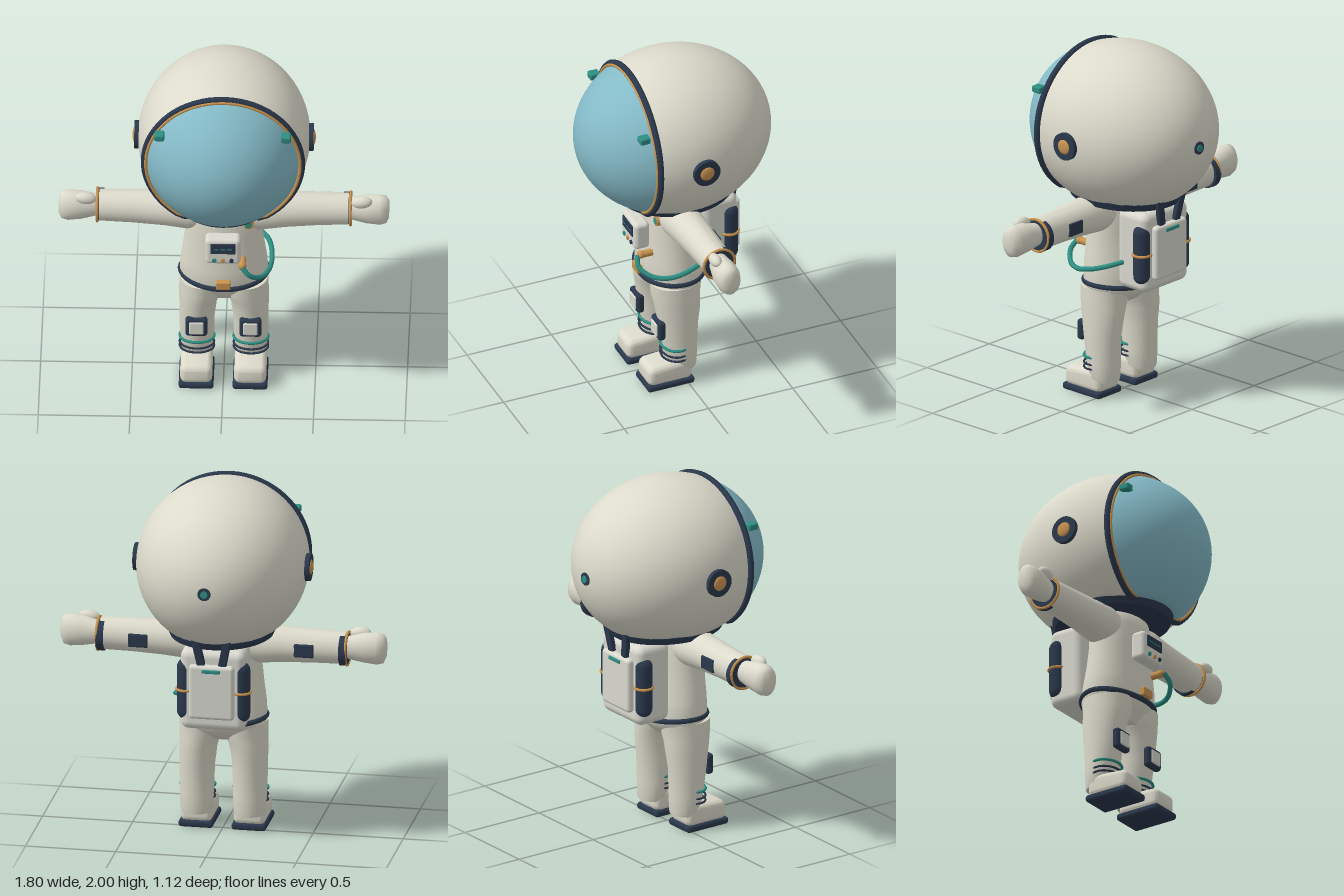
import * as THREE from 'three';
import { toCreasedNormals } from 'three/addons/utils/BufferGeometryUtils.js';
import { RoundedBoxGeometry } from 'three/addons/geometries/RoundedBoxGeometry.js';

const paint = (name, color) => Object.assign(new THREE.MeshStandardMaterial({ color }), { name });

// Skin over elliptical sections [t, a, b, ca, cb] along y (a=x, b=z) or along x (a=y, b=z)
function loft(sections, axis, s = 1, n = 32) {
  const pos = [], idx = [], last = sections.length - 1;
  const flip = (axis === 'y') !== (s < 0);
  const tri = (a, b, c) => (flip ? idx.push(a, c, b) : idx.push(a, b, c));
  const put = (t, u, v) => (axis === 'y' ? pos.push(u, t, v) : pos.push(s * t, u, v));
  for (const [t, a, b, ca, cb] of sections)
    for (let j = 0; j < n; j++) {
      const w = (j / n) * Math.PI * 2;
      put(t, ca + a * Math.cos(w), cb + b * Math.sin(w));
    }
  for (let i = 0; i < last; i++)
    for (let j = 0; j < n; j++) {
      const k = (j + 1) % n, p = i * n, q = p + n;
      tri(p + j, p + k, q + k);
      tri(p + j, q + k, q + j);
    }
  for (const i of [0, last]) {
    const [t, , , ca, cb] = sections[i], c = pos.length / 3;
    put(t, ca, cb);
    for (let j = 0; j < n; j++) {
      const p = i * n + j, k = i * n + ((j + 1) % n);
      if (i === 0) tri(c, k, p); else tri(c, p, k);
    }
  }
  const g = new THREE.BufferGeometry();
  g.setAttribute('position', new THREE.Float32BufferAttribute(pos, 3));
  g.setIndex(idx);
  return toCreasedNormals(g, 0.95);
}

// Closed round cord following a rule from angle to [x, y, z]
function loop(rule, radius, n = 64) {
  const pts = [];
  for (let i = 0; i < n; i++) pts.push(new THREE.Vector3(...rule((i / n) * Math.PI * 2)));
  return new THREE.TubeGeometry(new THREE.CatmullRomCurve3(pts, true), n, radius, 8, true);
}

export function createModel() {
  const suit = paint('suit fabric', 0xdcdacb), panel = paint('pale panel', 0xd9d9d0);
  const navy = paint('navy trim', 0x2b384c), teal = paint('teal accent', 0x2d8f83);
  const gold = paint('gold fitting', 0xc8934f), glass = paint('visor glass', 0x84bac7);
  const model = new THREE.Group();
  model.name = 'astronaut';

  const add = (name, geo, mat, x = 0, y = 0, z = 0) => {
    const m = new THREE.Mesh(geo, mat);
    m.name = name;
    m.position.set(x, y, z);
    model.add(m);
    return m;
  };
  const box = (name, mat, w, h, d, r, x, y, z) =>
    add(name, new RoundedBoxGeometry(w, h, d, 3, r), mat, x, y, z);
  // Disc facing along z or x
  const disc = (name, mat, r, d, x, y, z, axis = 'z') => {
    const g = new THREE.CylinderGeometry(r, r, d, 28);
    if (axis === 'z') g.rotateX(Math.PI / 2); else g.rotateZ(Math.PI / 2);
    return add(name, g, mat, x, y, z);
  };

  // Helmet: ellipsoid split into shell and visor, flattened underneath
  const HY = 1.535, split = Math.acos(0.25 / 0.55);
  const dome = (from, to) => {
    const g = new THREE.SphereGeometry(1, 72, 40, 0, Math.PI * 2, from, to - from);
    g.rotateX(Math.PI / 2).scale(0.47, 0.465, 0.552);
    const p = g.attributes.position;
    for (let i = 0; i < p.count; i++) p.setY(i, Math.max(p.getY(i), -0.355));
    return toCreasedNormals(g, 0.5);
  };
  add('visor', dome(0, split), glass, 0, HY, 0);
  add('helmetShell', dome(split, Math.PI), suit, 0, HY, 0);
  const rim = (rx, ry, low, z) => (w) => [rx * Math.cos(w), Math.max(ry * Math.sin(w), low), z];
  add('visorRim', loop(rim(0.43, 0.42, -0.362, 0.25), 0.018), navy, 0, HY, 0);
  add('visorInnerRim', loop(rim(0.421, 0.411, -0.35, 0.266), 0.009), gold, 0, HY, 0);
  const neck = new THREE.CylinderGeometry(1, 0.95, 0.04, 56).scale(0.3, 1, 0.345);
  add('neckRing', neck, navy, 0, 1.162, -0.015);
  disc('rearPort', navy, 0.036, 0.02, 0, HY, -0.547);
  disc('rearPortLens', teal, 0.02, 0.02, 0, HY, -0.553);

  // Torso and belt
  add('torso', loft([
    [0.53, 0.15, 0.09, 0, 0.03], [0.58, 0.21, 0.135, 0, 0.02], [0.62, 0.236, 0.17, 0, 0.015],
    [0.66, 0.243, 0.178, 0, 0.018], [0.75, 0.236, 0.168, 0, 0.025], [0.85, 0.222, 0.156, 0, 0.03],
    [0.96, 0.21, 0.15, 0, 0.035], [1.08, 0.205, 0.145, 0, 0.035], [1.15, 0.19, 0.13, 0, 0.035],
    [1.18, 0.15, 0.1, 0, 0.035]], 'y', 1, 40), suit);
  const belt = (w) => [0.237 * Math.cos(w), 0.642 + 0.018 * Math.cos(w) ** 2, 0.018 + 0.175 * Math.sin(w)];
  add('belt', loop(belt, 0.016), navy);
  box('buckle', gold, 0.08, 0.05, 0.04, 0.008, 0, 0.68, 0.203);

  // Chest control unit
  box('chestUnit', panel, 0.195, 0.165, 0.09, 0.025, 0, 0.935, 0.215);
  box('chestScreen', navy, 0.137, 0.066, 0.012, 0.005, 0, 0.962, 0.261);
  for (let i = -1; i <= 1; i++) {
    box('screenMark', teal, 0.026, 0.005, 0.004, 0.001, i * 0.036, 0.96, 0.267);
    disc('chestButton', [teal, gold, navy][i + 1], 0.012, 0.012, i * 0.047, 0.885, 0.262);
  }
  disc('badgeRim', gold, 0.029, 0.02, 0.137, 1.05, 0.148);
  disc('badgeCentre', teal, 0.019, 0.02, 0.137, 1.05, 0.152);

  // Air hose from the chest, round the model's left side, into the backpack
  add('hoseConnector', new THREE.SphereGeometry(0.023, 18, 12), gold, 0.105, 0.83, 0.23);
  disc('hoseSocket', gold, 0.02, 0.07, 0.105, 0.83, 0.2);
  const path = [[0.105, 0.83, 0.25], [0.145, 0.785, 0.262], [0.205, 0.742, 0.21], [0.25, 0.735, 0.12],
    [0.262, 0.757, 0.02], [0.24, 0.79, -0.08], [0.17, 0.82, -0.155]];
  const curve = new THREE.CatmullRomCurve3(path.map((p) => new THREE.Vector3(...p)));
  add('airHose', new THREE.TubeGeometry(curve, 48, 0.014, 10), teal);

  // Backpack
  box('backpack', panel, 0.36, 0.46, 0.215, 0.045, 0, 0.895, -0.2125);
  box('backpackPanel', panel, 0.25, 0.31, 0.05, 0.02, 0, 0.895, -0.33);
  box('backpackStripe', teal, 0.1, 0.02, 0.012, 0.004, 0, 1.02, -0.357);

  for (const s of [1, -1]) {
    // Helmet fittings
    disc('earDisc', navy, 0.077, 0.045, s * 0.466, HY, 0, 'x');
    const cap = new THREE.SphereGeometry(0.042, 24, 14).scale(0.3, 1, 1);
    add('earCap', cap, gold, s * 0.487, HY, 0);
    box('visorLamp', teal, 0.055, 0.038, 0.06, 0.009, s * 0.345, 1.755, 0.315);

    // Backpack tanks and straps
    add('tank', new THREE.CapsuleGeometry(0.048, 0.25, 6, 20), navy, s * 0.155, 0.888, -0.273);
    const band = new THREE.TorusGeometry(0.05, 0.008, 8, 28).rotateX(Math.PI / 2);
    add('tankBand', band, gold, s * 0.155, 0.888, -0.273);
    const strap = box('strap', navy, 0.045, 0.17, 0.03, 0.006, s * 0.075, 1.13, -0.335);
    strap.rotation.set(-0.1, 0, -s * 0.2);

    // Arm
    add('sleeve', loft([
      [0.1, 0.1, 0.1, 1.07, 0.035], [0.2, 0.11, 0.113, 1.07, 0.035], [0.33, 0.1, 0.1, 1.073, 0.03],
      [0.5, 0.093, 0.091, 1.075, 0.025], [0.68, 0.089, 0.085, 1.075, 0.02]], 'x', s), suit);
    disc('wristSeal', navy, 0.089, 0.04, s * 0.673, 1.07, 0.008, 'x');
    const cuff = new THREE.TorusGeometry(0.091, 0.008, 8, 36).rotateY(Math.PI / 2);
    add('cuffRing', cuff, gold, s * 0.69, 1.073, 0.018);
    box('elbowPatch', navy, 0.11, 0.075, 0.02, 0.008, s * 0.46, 1.07, -0.062);
    add('glove', loft([
      [0.67, 0.06, 0.052, 1.08, 0.02], [0.72, 0.07, 0.058, 1.078, 0.025], [0.78, 0.084, 0.068, 1.08, 0.03],
      [0.85, 0.09, 0.068, 1.078, 0.032], [0.885, 0.083, 0.056, 1.08, 0.032],
      [0.9, 0.055, 0.032, 1.085, 0.032]], 'x', s), suit);
    const thumb = new THREE.SphereGeometry(1, 20, 14).scale(0.058, 0.034, 0.032);
    add('thumb', thumb, suit, s * 0.752, 1.15, 0.068).rotation.z = s * 0.1;

    // Leg
    const lx = s * 0.147;
    add('leg', loft([
      [0.09, 0.08, 0.07, lx, 0], [0.11, 0.089, 0.082, lx, 0.008], [0.2, 0.093, 0.095, lx, 0.018],
      [0.35, 0.096, 0.11, lx, 0.027], [0.46, 0.103, 0.127, s * 0.141, 0.028],
      [0.52, 0.112, 0.134, s * 0.132, 0.032], [0.56, 0.122, 0.139, s * 0.122, 0.034],
      [0.63, 0.122, 0.145, s * 0.12, 0.032]], 'y'), suit);
    for (const [y, r, mat] of [[0.23, 0.008, teal], [0.19, 0.006, navy], [0.163, 0.006, navy]])
      add('shinRing', loop((w) => [lx + 0.094 * Math.cos(w), y, 0.05 + 0.073 * Math.sin(w)], r, 40), mat);
    box('kneePad', navy, 0.12, 0.118, 0.045, 0.018, lx, 0.357, 0.144);
    box('kneePlate', panel, 0.08, 0.08, 0.02, 0.009, lx, 0.357, 0.164);

    // Boot, with the toe end lowered
    const boot = new RoundedBoxGeometry(0.175, 0.13, 0.262, 5, 0.035);
    const p = boot.attributes.position;
    for (let i = 0; i < p.count; i++)
      if (p.getY(i) > 0) p.setY(i, p.getY(i) - 0.18 * Math.max(0, p.getZ(i) - 0.02));
    boot.computeVertexNormals();
    add('boot', toCreasedNormals(boot, 0.7), suit, lx, 0.092, 0.104);
    box('sole', navy, 0.19, 0.04, 0.275, 0.016, lx, 0.02, 0.104);
  }
  return model;
}
